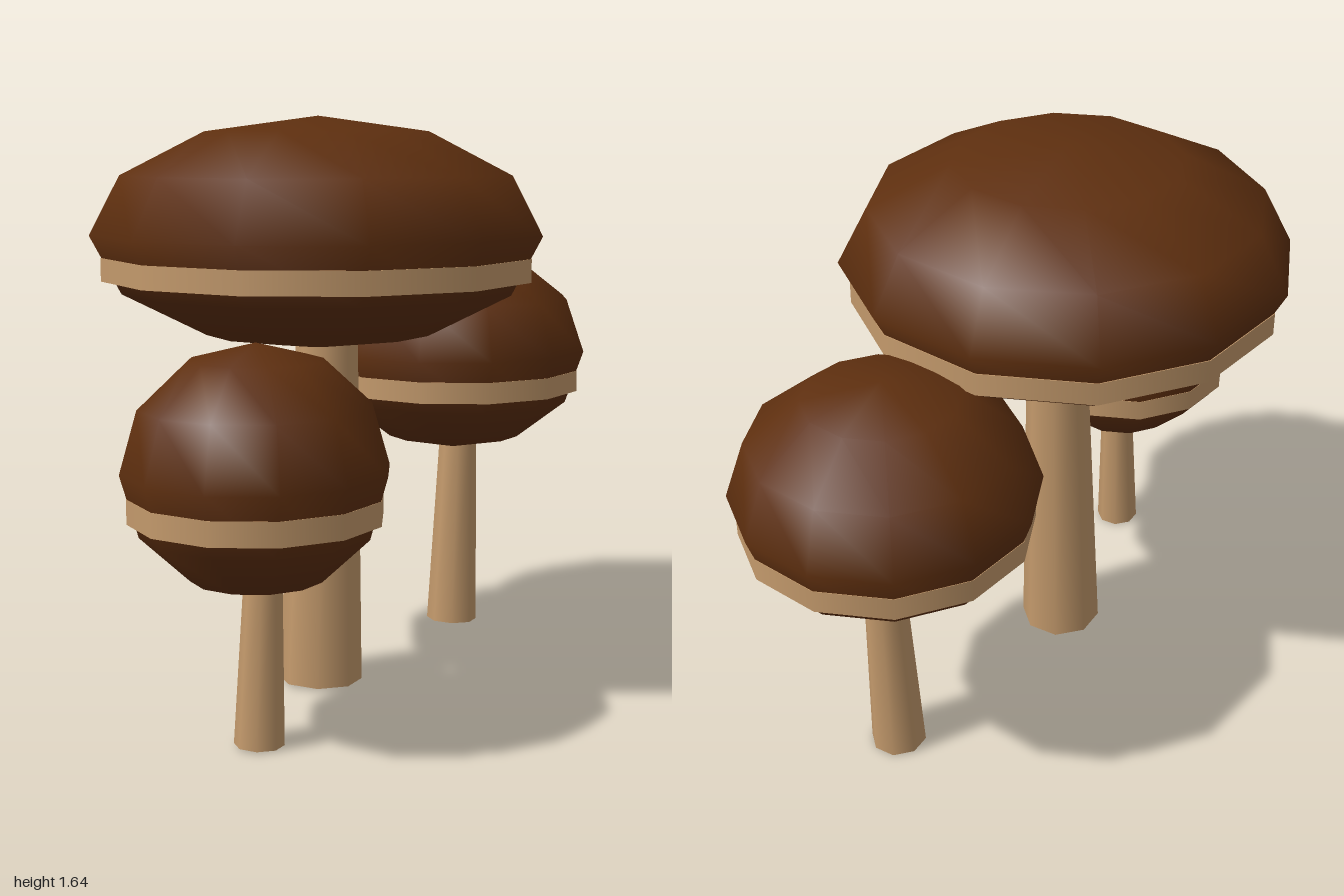
import * as THREE from 'three';

const capBrown = new THREE.MeshStandardMaterial({ color: 0x5e2f0f });
capBrown.name = 'capBrown';
const stemTan = new THREE.MeshStandardMaterial({ color: 0xc49a6c });
stemTan.name = 'stemTan';

const CAP_HALF_HEIGHT = 0.328;

function part(name, geometry, material) {
  const mesh = new THREE.Mesh(geometry, material);
  mesh.name = name;
  return mesh;
}

// One mushroom: faceted ellipsoid cap, flat rim band, tapered leaning stem
function mushroom({ name, x, z, capY, capRadius, baseRadius, neckRadius, lean }) {
  const group = new THREE.Group();
  group.name = name;
  group.position.set(x, 0, z);

  const capShape = new THREE.SphereGeometry(1, 12, 6);
  capShape.scale(capRadius, CAP_HALF_HEIGHT, capRadius);
  const cap = part('cap', capShape, capBrown);
  cap.position.y = capY;

  const bandRadius = capRadius * 0.953;
  const band = part('rimBand', new THREE.CylinderGeometry(bandRadius, bandRadius, 0.065, 12), stemTan);
  band.position.y = capY - 0.095;

  // The stem runs a little way into the cap
  const height = capY - CAP_HALF_HEIGHT + 0.06;
  const stemShape = new THREE.CylinderGeometry(neckRadius, baseRadius, height, 8);
  stemShape.translate(0, height / 2, 0);
  const stem = part('stem', stemShape, stemTan);
  stem.position.y = baseRadius * Math.sin(lean);
  stem.rotation.z = -lean;

  group.add(cap, band, stem);
  return group;
}

export function createModel() {
  const model = new THREE.Group();
  model.name = 'mushroomCluster';
  model.add(
    mushroom({ name: 'tallMushroom', x: -0.163, z: -0.008, capY: 1.312, capRadius: 0.646, baseRadius: 0.122, neckRadius: 0.088, lean: 0.03 }),
    mushroom({ name: 'leftMushroom', x: 0.575, z: -0.186, capY: 0.909, capRadius: 0.424, baseRadius: 0.081, neckRadius: 0.058, lean: 0.038 }),
    mushroom({ name: 'rightMushroom', x: -0.65, z: 0.302, capY: 0.737, capRadius: 0.351, baseRadius: 0.067, neckRadius: 0.05, lean: 0.04 }),
  );
  return model;
}
